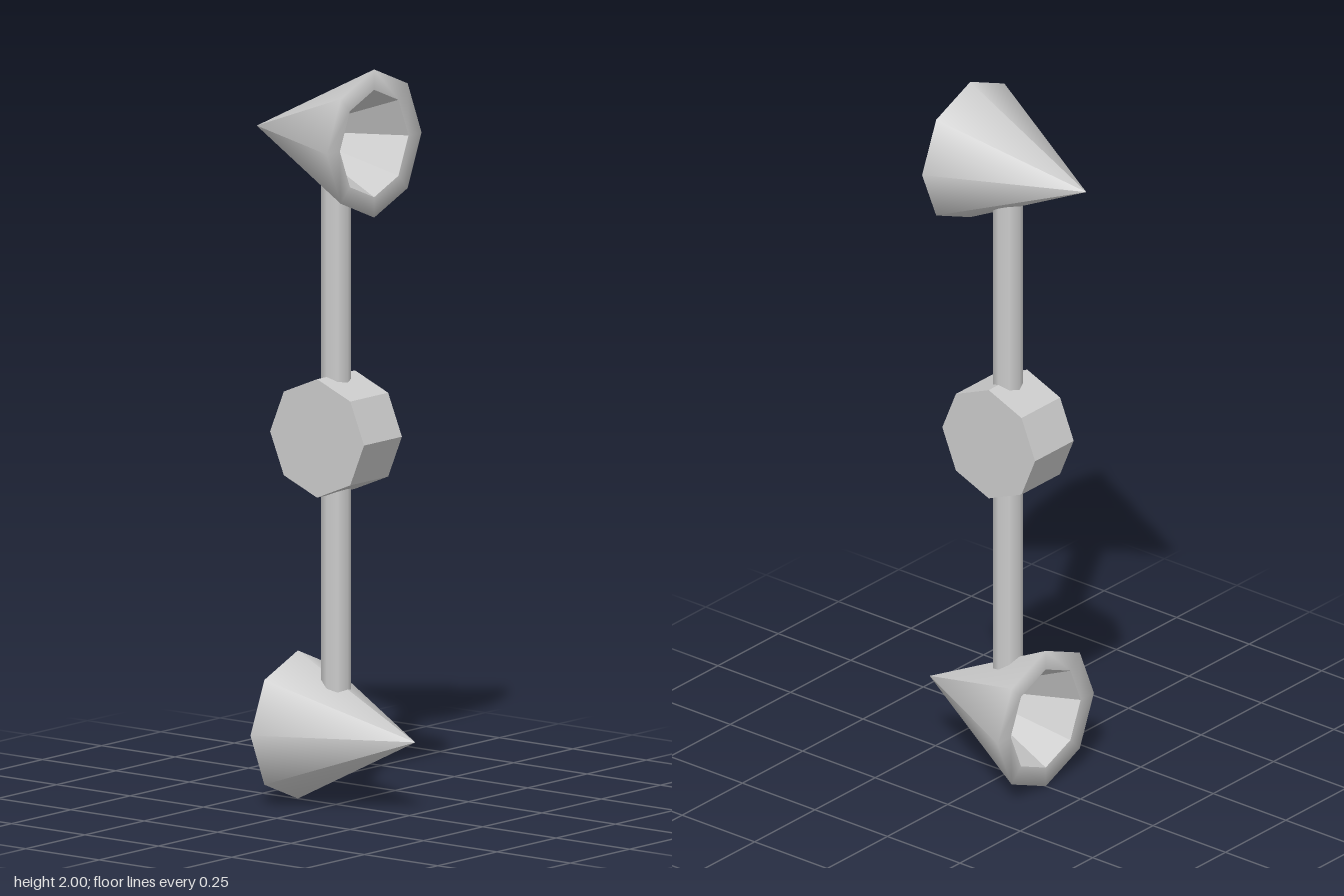
import * as THREE from 'three';

const smooth = new THREE.MeshStandardMaterial({ color: 0xcccccc });
const faceted = new THREE.MeshStandardMaterial({ color: 0xcccccc, flatShading: true });
const SIDES = 8;

function part(name, geometry, material) {
  const mesh = new THREE.Mesh(geometry, material);
  mesh.name = name;
  return mesh;
}

function lathe(points) {
  return new THREE.LatheGeometry(points.map(([r, y]) => new THREE.Vector2(r, y)), SIDES);
}

// Pole with a hollow conical head, pointing up from the hub's centre
function createArm(name) {
  const arm = new THREE.Group();
  arm.name = name;

  const pole = part('pole', new THREE.CylinderGeometry(0.04, 0.04, 0.69, SIDES), smooth);
  pole.position.y = 0.345;

  const head = new THREE.Group();
  head.name = 'coneHead';
  // Rim and outer shell
  head.add(part('coneShell', lathe([[0.145, -0.2], [0.2, -0.2], [0, 0.2]]), smooth));
  // Hollow inside, parallel to the shell
  head.add(part('coneRecess', lathe([[0, 0.09], [0.145, -0.2]]), faceted));
  head.rotation.z = Math.PI / 2;
  head.position.set(-0.07, 0.8, 0);

  arm.add(pole, head);
  return arm;
}

export function createModel() {
  const model = new THREE.Group();
  model.name = 'doubleConeStaff';

  // Octagonal hub facing front and back
  const hub = part('hub', new THREE.CylinderGeometry(0.16, 0.16, 0.16, SIDES), faceted);
  hub.rotation.x = Math.PI / 2;
  hub.position.y = 1;
  model.add(hub);

  // Two arms, the lower one turned half a revolution about the hub
  ['upperArm', 'lowerArm'].forEach((name, i) => {
    const arm = createArm(name);
    arm.position.y = 1;
    arm.rotation.z = i * Math.PI;
    model.add(arm);
  });

  return model;
}
